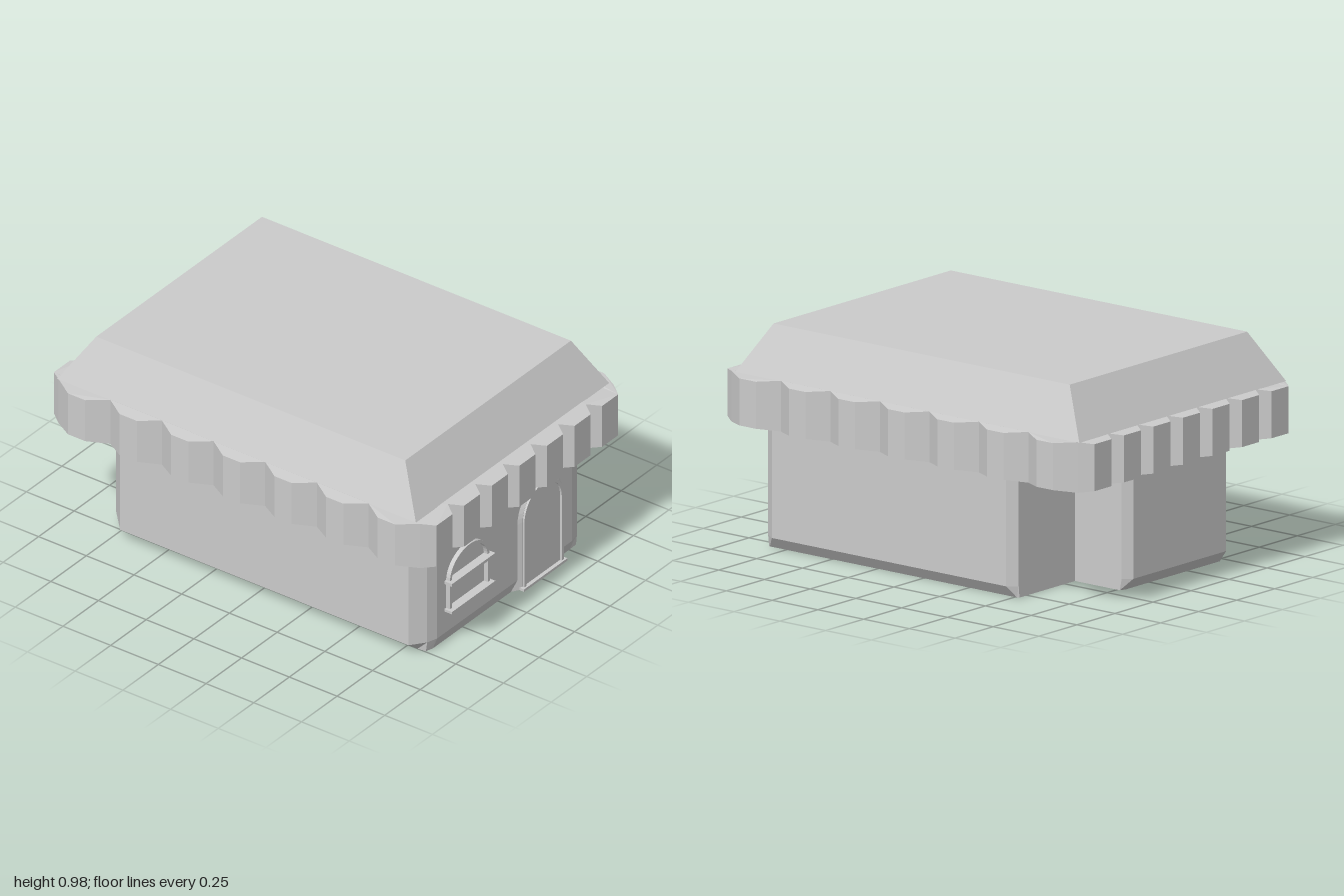
import * as THREE from 'three';

const material = new THREE.MeshStandardMaterial({ color: 0xcccccc, flatShading: true });

function addMesh(parent, name, geometry, x = 0, y = 0, z = 0) {
  const mesh = new THREE.Mesh(geometry, material);
  mesh.name = name;
  mesh.position.set(x, y, z);
  parent.add(mesh);
  return mesh;
}

// Closed solid through rings of [x, z] points, each at its own height
function loft(rings, heights) {
  const pos = [];
  const put = (r, i) => {
    const [x, z] = rings[r][i];
    pos.push(x, heights[r], z);
  };
  const n = rings[0].length;
  for (let r = 0; r < rings.length - 1; r++) {
    for (let i = 0; i < n; i++) {
      const j = (i + 1) % n;
      put(r, i); put(r, j); put(r + 1, j);
      put(r, i); put(r + 1, j); put(r + 1, i);
    }
  }
  const cap = (r, flip) => {
    const contour = rings[r].map(([x, z]) => new THREE.Vector2(x, -z));
    for (const [a, b, c] of THREE.ShapeUtils.triangulateShape(contour, [])) {
      for (const i of flip ? [c, b, a] : [a, b, c]) put(r, i);
    }
  };
  cap(0, true);
  cap(rings.length - 1, false);
  const geometry = new THREE.BufferGeometry();
  geometry.setAttribute('position', new THREE.Float32BufferAttribute(pos, 3));
  geometry.computeVertexNormals();
  return geometry;
}

const rect = (x, front, back) => [[-x, front], [x, front], [x, back], [-x, back]];

// Upright arch: straight legs from y0 to y1, then half an ellipse
function archPoints(w, y0, y1, ry, steps = 20) {
  const pts = [new THREE.Vector2(-w, y0), new THREE.Vector2(w, y0)];
  for (let i = 0; i <= steps; i++) {
    const a = (i / steps) * Math.PI;
    pts.push(new THREE.Vector2(Math.cos(a) * w, y1 + Math.sin(a) * ry));
  }
  return pts;
}

// Thin arched frame, open at the foot
function archFrame(w, y0, y1, ry, t, depth) {
  const outer = archPoints(w, y0, y1, ry).slice(1);
  const inner = archPoints(w - t, y0, y1, ry - t).slice(1).reverse();
  outer.push(new THREE.Vector2(-w, y0), new THREE.Vector2(-w + t, y0));
  return new THREE.ExtrudeGeometry(new THREE.Shape([...outer, ...inner]), { depth, bevelEnabled: false });
}

// Scalloped band: seven blunt teeth on each side
function fringeGeometry() {
  const X = 0.68, Z = 0.947, teeth = 7, out = 0.056;
  const pts = [];
  const side = (ax, az, bx, bz, nx, nz, slope) => {
    for (let i = 0; i < teeth; i++) {
      for (const [t, o] of [[0, 0], [slope, out], [1 - slope, out]]) {
        const f = (i + t) / teeth;
        pts.push(new THREE.Vector2(ax + (bx - ax) * f + nx * o, az + (bz - az) * f + nz * o));
      }
    }
  };
  side(-X, Z, X, Z, 0, 1, 0.21);
  side(X, Z, X, -Z, 1, 0, 0.333);
  side(X, -Z, -X, -Z, 0, -1, 0.21);
  side(-X, -Z, -X, Z, -1, 0, 0.333);
  const g = new THREE.ExtrudeGeometry(new THREE.Shape(pts), { depth: 0.22, bevelEnabled: false });
  g.rotateX(Math.PI / 2).translate(0, 0.77, 0);
  // Teeth are slightly shorter at their outer faces
  const p = g.attributes.position;
  for (let i = 0; i < p.count; i++) {
    if (Math.abs(p.getX(i)) > X + 0.03 || Math.abs(p.getZ(i)) > Z + 0.03) {
      p.setY(i, p.getY(i) > 0.66 ? 0.762 : 0.558);
    }
  }
  g.computeVertexNormals();
  return g;
}

export function createModel() {
  const house = new THREE.Group();
  house.name = 'house';

  // Walls with chamfered corners, a bevelled foot and a notch at the back
  const wall = [[-0.45, 0.865], [0.5, 0.865], [0.555, 0.85], [0.59, 0.8], [0.59, -0.48],
    [0.555, -0.52], [0.185, -0.52], [0.185, -0.775], [0.15, -0.81], [-0.46, -0.81],
    [-0.565, -0.71], [-0.565, 0.8], [-0.5, 0.85]];
  const foot = [[-0.46, 0.85], [0.5, 0.85], [0.55, 0.848], [0.555, 0.84], [0.555, -0.51],
    [0.55, -0.52], [0.185, -0.52], [0.185, -0.765], [0.16, -0.775], [-0.46, -0.775],
    [-0.5, -0.73], [-0.5, 0.8], [-0.495, 0.84]];
  addMesh(house, 'walls', loft([foot, wall, wall], [0, 0.05, 0.56]));

  // Hipped flat-topped roof above the scalloped fringe
  addMesh(house, 'roof', loft([rect(0.68, 0.925, -0.955), rect(0.583, 0.797, -0.822)], [0.768, 0.98]));
  addMesh(house, 'fringe', fringeGeometry());

  // Doorway: sloping surround, panel, frame and threshold
  const door = new THREE.Group();
  door.name = 'door';
  door.position.set(0.275, 0, 0);
  house.add(door);
  const surround = loft([archPoints(0.185, 0, 0.315, 0.185), archPoints(0.14, 0, 0.335, 0.13)]
    .map((ring) => ring.map((p) => [p.x, -p.y])), [0, 0.027]);
  surround.rotateX(Math.PI / 2);
  addMesh(door, 'doorSurround', surround, 0, 0, 0.85);
  addMesh(door, 'doorFrame', archFrame(0.138, 0, 0.335, 0.132, 0.014, 0.02), 0, 0, 0.866);
  addMesh(door, 'threshold', new THREE.BoxGeometry(0.305, 0.012, 0.045), 0, 0.006, 0.872);

  // Arched window: arch, posts, rail and sill
  const windowGroup = new THREE.Group();
  windowGroup.name = 'window';
  windowGroup.position.set(-0.247, 0, 0);
  house.add(windowGroup);
  addMesh(windowGroup, 'windowArch', archFrame(0.14, 0.3, 0.305, 0.12, 0.014, 0.025), 0, 0, 0.86);
  for (const s of [-1, 1]) {
    addMesh(windowGroup, 'windowPost', new THREE.BoxGeometry(0.014, 0.14, 0.025), s * 0.133, 0.235, 0.873);
  }
  addMesh(windowGroup, 'windowRail', new THREE.BoxGeometry(0.305, 0.014, 0.045), 0, 0.303, 0.883);
  addMesh(windowGroup, 'windowSill', new THREE.BoxGeometry(0.305, 0.012, 0.045), 0, 0.165, 0.883);

  return house;
}
